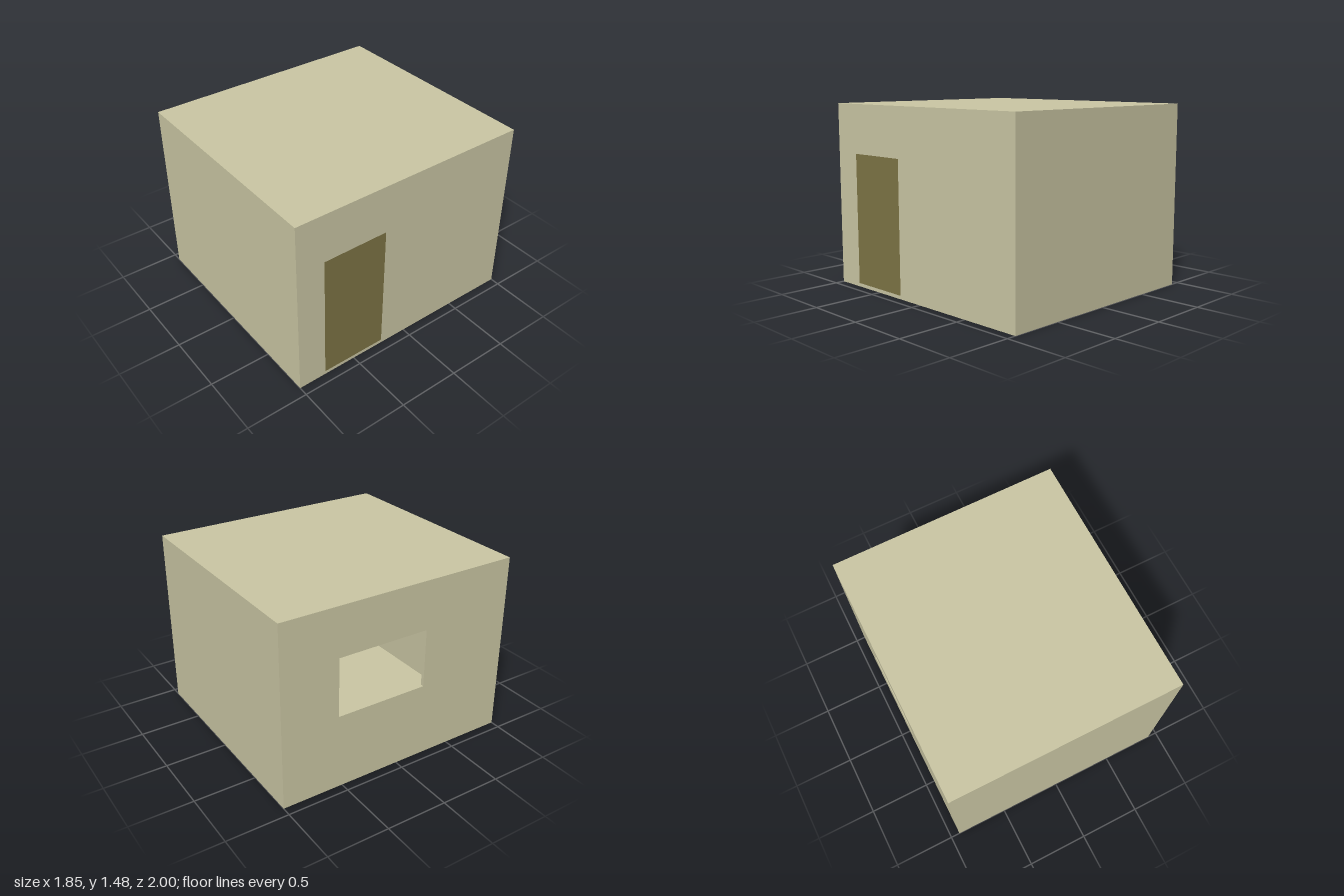
import * as THREE from 'three';

const W = 1.85, H = 1.48, D = 2, T = 0.028; // outer size and wall thickness
const wallMaterial = new THREE.MeshStandardMaterial({ color: 0xccc8a5 });
const doorMaterial = new THREE.MeshStandardMaterial({ color: 0x7e7546 });

const door = { z0: 0.23, z1: 0.77, y0: T, y1: 1.085 };
const windowHole = { z0: -0.53, z1: 0.23, y0: 0.61, y1: 1.085 };

export function createModel() {
  const group = new THREE.Group();

  const add = (name, geometry, material, x, y, z) => {
    const mesh = new THREE.Mesh(geometry, material);
    mesh.name = name;
    mesh.position.set(x, y, z);
    group.add(mesh);
  };
  const box = (name, w, h, d, x, y, z, material = wallMaterial) =>
    add(name, new THREE.BoxGeometry(w, h, d), material, x, y, z);

  // Side wall drawn in (z, y); its outer or inner face ends at xMax
  const sideWall = (name, points, holes, xMax) => {
    const toVectors = (list) => list.map(([z, y]) => new THREE.Vector2(z, y));
    const shape = new THREE.Shape(toVectors(points));
    for (const hole of holes) shape.holes.push(new THREE.Path(toVectors(hole)));
    const geometry = new THREE.ExtrudeGeometry(shape, { depth: T, bevelEnabled: false });
    geometry.rotateY(-Math.PI / 2);
    add(name, geometry, wallMaterial, xMax, 0, 0);
  };

  // Floor and flat roof
  box('floor', W, T, D, 0, T / 2, 0);
  box('roof', W, T, D, 0, H - T / 2, 0);

  // Plain front and back walls
  for (const [name, side] of [['frontWall', 1], ['backWall', -1]])
    box(name, W, H - 2 * T, T, 0, H / 2, side * (D - T) / 2);

  // Side walls fit between the front and back walls
  const e = D / 2 - T, top = H - T;
  sideWall('doorWall', [
    [-e, T], [door.z0, T], [door.z0, door.y1], [door.z1, door.y1],
    [door.z1, T], [e, T], [e, top], [-e, top],
  ], [], W / 2);

  const { z0, z1, y0, y1 } = windowHole;
  sideWall('windowWall', [[-e, T], [e, T], [e, top], [-e, top]],
    [[[z0, y0], [z0, y1], [z1, y1], [z1, y0]]], -W / 2 + T);

  // Door leaf, flush with the wall
  box('door', T, door.y1 - door.y0, door.z1 - door.z0,
    (W - T) / 2, (door.y0 + door.y1) / 2, (door.z0 + door.z1) / 2, doorMaterial);

  return group;
}
